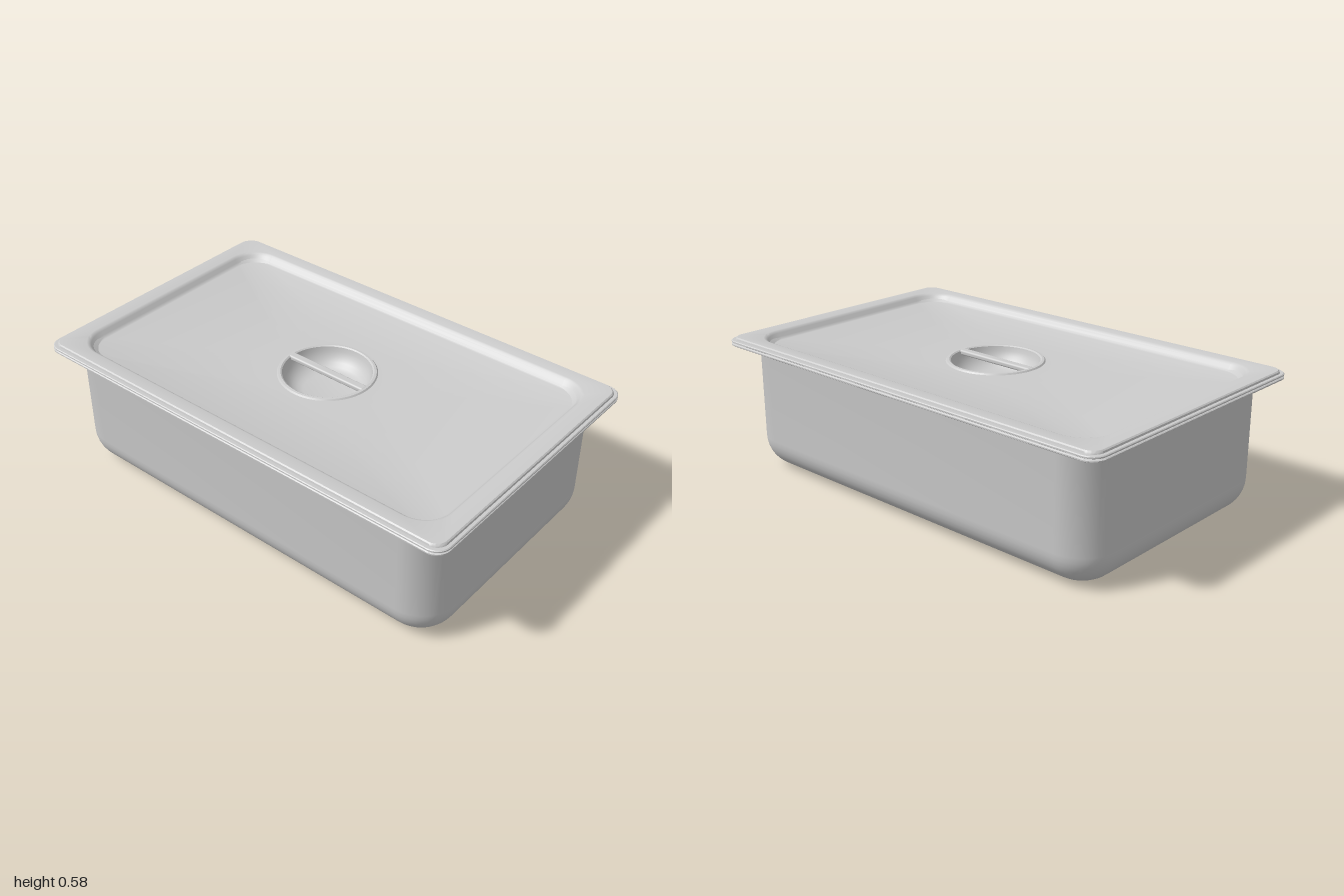
import * as THREE from 'three';
import { toCreasedNormals } from 'three/addons/utils/BufferGeometryUtils.js';
import { RoundedBoxGeometry } from 'three/addons/geometries/RoundedBoxGeometry.js';

const STEPS = 12; // segments per rounded corner

// Outline of a rounded rectangle with half sizes hx, hz at height y
function ring([hx, hz, r, y]) {
  const points = [];
  for (let q = 0; q < 4; q++) {
    const sx = q === 0 || q === 3 ? 1 : -1, sz = q < 2 ? 1 : -1;
    for (let i = 0; i <= STEPS; i++) {
      const a = (q + i / STEPS) * Math.PI / 2;
      points.push(sx * (hx - r) + r * Math.cos(a), y, sz * (hz - r) + r * Math.sin(a));
    }
  }
  return points;
}

// Skin over a series of rounded rectangles: underside, outside, then top
function loft(sections, crease = 0.6) {
  const n = 4 * (STEPS + 1), index = [];
  for (let i = 0; i < sections.length - 1; i++) {
    for (let j = 0; j < n; j++) {
      const k = (j + 1) % n, a = i * n, b = a + n;
      index.push(a + j, b + j, a + k, a + k, b + j, b + k);
    }
  }
  const g = new THREE.BufferGeometry();
  g.setAttribute('position', new THREE.Float32BufferAttribute(sections.flatMap(ring), 3));
  g.setIndex(index);
  return toCreasedNormals(g, crease);
}

// Quarter-round sections joining floor and wall of a basin
function basin(hx, hz, corner, fillet, floor) {
  const out = [[hx - hz, 0, 0, floor]];
  for (let i = 0; i <= 10; i++) {
    const a = i / 10 * Math.PI / 2, inset = fillet * (1 - Math.sin(a));
    out.push([hx - inset, hz - inset, corner - inset, floor + fillet * (1 - Math.cos(a))]);
  }
  return out;
}

export function createModel() {
  const group = new THREE.Group();
  const steel = new THREE.MeshStandardMaterial({ color: 0xcccccc, side: THREE.DoubleSide });
  const add = (name, geometry) => {
    const mesh = new THREE.Mesh(geometry, steel);
    mesh.name = name;
    group.add(mesh);
    return mesh;
  };

  // Deep pan with a flared flange and a thin wall
  const flare = [];
  for (let i = 0; i <= 6; i++) {
    const a = i / 6 * Math.PI / 2, o = 0.03 * (1 - Math.cos(a));
    flare.push([0.943 + o, 0.558 + o, 0.16 - o, 0.515 + 0.03 * Math.sin(a)]);
  }
  add('pan', loft([
    ...basin(0.943, 0.558, 0.16, 0.14, 0),
    ...flare,
    [0.996, 0.611, 0.06, 0.545],
    [1, 0.615, 0.06, 0.548],
    [1, 0.615, 0.06, 0.553],
    [0.996, 0.611, 0.06, 0.556],
    [0.955, 0.57, 0.14, 0.556],
    [0.933, 0.548, 0.15, 0.535],
    ...basin(0.933, 0.548, 0.15, 0.13, 0.01).reverse(),
  ]));

  // Lid: stepped edge, raised border, sunken panel with a round opening
  add('lid', loft([
    [0.2, 0.2, 0.2, 0.538],
    [0.87, 0.495, 0.1, 0.538],
    [0.9, 0.525, 0.13, 0.559],
    [0.997, 0.612, 0.06, 0.559],
    [1, 0.615, 0.06, 0.561],
    [1, 0.615, 0.06, 0.566],
    [0.997, 0.612, 0.06, 0.569],
    [0.985, 0.6, 0.05, 0.569],
    [0.983, 0.598, 0.05, 0.576],
    [0.978, 0.593, 0.045, 0.58],
    [0.917, 0.543, 0.13, 0.58],
    [0.909, 0.535, 0.125, 0.577],
    [0.902, 0.528, 0.12, 0.57],
    [0.892, 0.518, 0.11, 0.556],
    [0.885, 0.511, 0.105, 0.549],
    [0.877, 0.503, 0.1, 0.546],
    [0.2, 0.2, 0.2, 0.546],
  ]));

  // Round finger bowl with a low raised lip
  const bowl = [
    [0, 0.462], [0.1, 0.462], [0.122, 0.466], [0.142, 0.476], [0.158, 0.49], [0.172, 0.51],
    [0.18, 0.53], [0.184, 0.549], [0.19, 0.553], [0.2, 0.552], [0.205, 0.546],
  ].map(([x, y]) => new THREE.Vector2(x, y));
  add('fingerBowl', toCreasedNormals(new THREE.LatheGeometry(bowl, 64), 0.6));

  // Grip bar across the bowl
  const bar = add('gripBar', new RoundedBoxGeometry(0.39, 0.022, 0.036, 3, 0.008));
  bar.position.set(0, 0.543, 0);

  return group;
}
